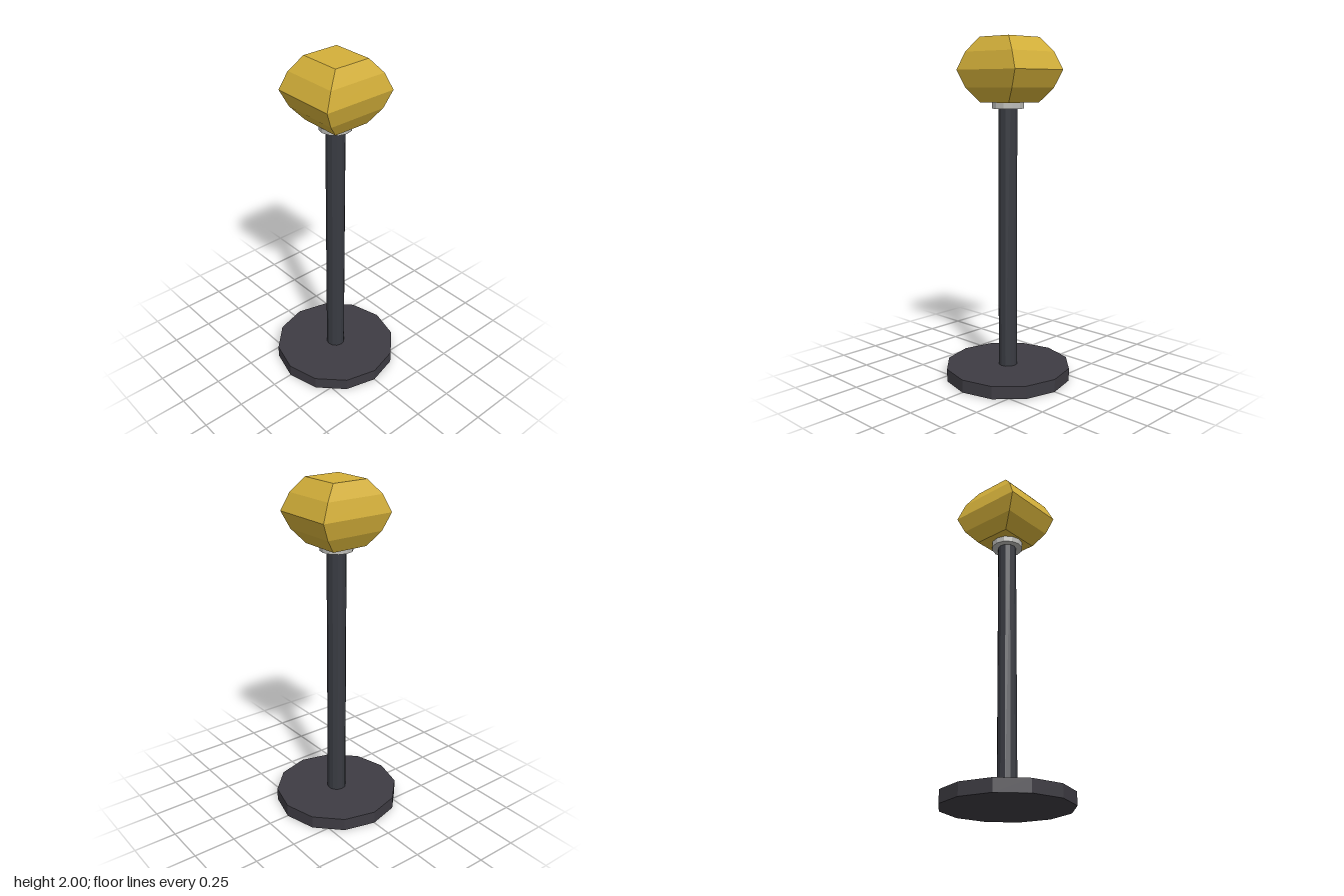
import * as THREE from 'three';

const material = (name, color) => {
  const m = new THREE.MeshStandardMaterial({ color, flatShading: true });
  m.name = name;
  return m;
};

// Twelve-sided upright disc or post spanning y0..y1
function post(name, radius, y0, y1, mat) {
  const mesh = new THREE.Mesh(new THREE.CylinderGeometry(radius, radius, y1 - y0, 12), mat);
  mesh.name = name;
  mesh.position.y = (y0 + y1) / 2;
  return mesh;
}

// Faceted knob from stacked rectangles: [y, half width, half depth]
function knobGeometry(levels) {
  const positions = [], index = [];
  for (const [y, w, d] of levels) {
    positions.push(-w, y, d, w, y, d, w, y, -d, -w, y, -d);
  }
  for (let i = 0; i < levels.length - 1; i++) {
    for (let j = 0; j < 4; j++) {
      const a = i * 4 + j, b = i * 4 + (j + 1) % 4;
      index.push(a, b, b + 4, a, b + 4, a + 4);
    }
  }
  const t = (levels.length - 1) * 4;
  index.push(0, 2, 1, 0, 3, 2, t, t + 1, t + 2, t, t + 2, t + 3);
  const indexed = new THREE.BufferGeometry();
  indexed.setAttribute('position', new THREE.Float32BufferAttribute(positions, 3));
  indexed.setIndex(index);
  const geometry = indexed.toNonIndexed();
  geometry.computeVertexNormals();
  return geometry;
}

export function createModel() {
  const group = new THREE.Group();
  group.name = 'knobbedStand';
  const baseMat = material('charcoal', 0x3e3c43);
  const poleMat = material('darkSteel', 0x393b42);
  const collarMat = material('silver', 0xbcbcb8);
  const goldMat = material('gold', 0xd4b03a);

  // Foot, pole and collar
  group.add(post('base', 0.373, 0, 0.075, baseMat));
  group.add(post('pole', 0.056, 0.07, 1.61, poleMat));
  group.add(post('collar', 0.094, 1.6, 1.637, collarMat));

  // Slightly off-centre bulging knob
  const knob = new THREE.Mesh(knobGeometry([
    [1.635, 0.126, 0.113],
    [1.718, 0.173, 0.183],
    [1.818, 0.198, 0.229],
    [1.918, 0.173, 0.183],
    [2.0, 0.126, 0.113],
  ]), goldMat);
  knob.name = 'knob';
  knob.position.set(-0.006, 0, -0.009);
  group.add(knob);

  return group;
}
